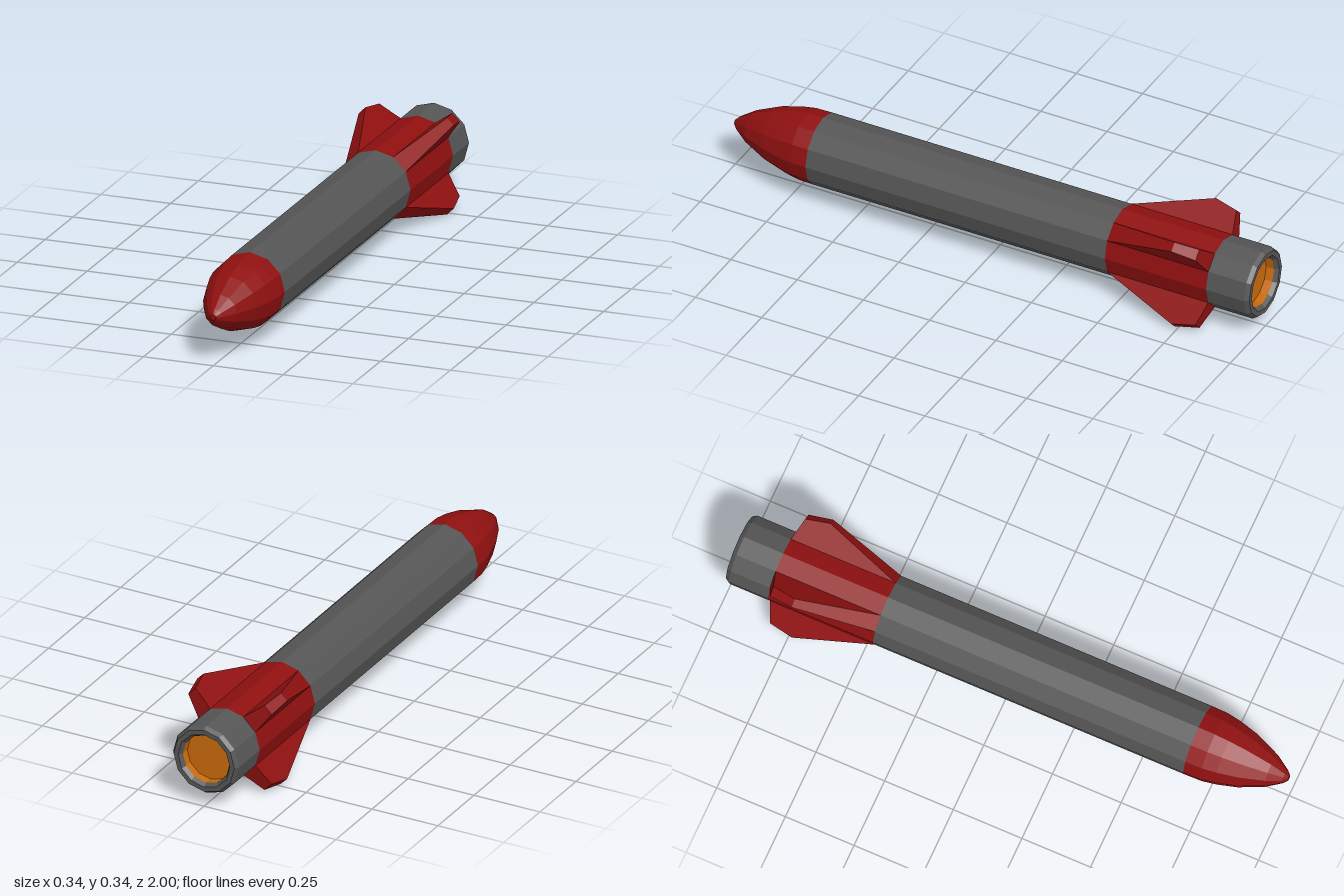
import * as THREE from 'three';
import { ConvexGeometry } from 'three/addons/geometries/ConvexGeometry.js';

const SIDES = 12;
const RADIUS = 0.125;
const APOTHEM = RADIUS * Math.cos(Math.PI / SIDES);
const HALF_FACET = RADIUS * Math.sin(Math.PI / SIDES);
const AXIS_HEIGHT = 0.17;

const material = (color) => new THREE.MeshStandardMaterial({ color, flatShading: true });

// Twelve-sided surface around the z axis from [radius, z] points
function turned(name, profile, mat) {
  const points = profile.map(([r, z]) => new THREE.Vector2(r, z));
  const geometry = new THREE.LatheGeometry(points, SIDES).rotateX(Math.PI / 2);
  const mesh = new THREE.Mesh(geometry, mat);
  mesh.name = name;
  return mesh;
}

// Fin growing up (+y) from one flat facet and narrowing towards its tip
function finGeometry() {
  const tip = 0.2235, tipHalf = 0.0167;
  const outline = [[-0.46, APOTHEM], [-0.735, tip], [-0.82, 0.204], [-0.842, APOTHEM]];
  const corners = [];
  for (const [z, r] of outline) {
    const t = (r - APOTHEM) / (tip - APOTHEM);
    const half = THREE.MathUtils.lerp(HALF_FACET, tipHalf, t);
    corners.push(new THREE.Vector3(-half, r, z), new THREE.Vector3(half, r, z));
  }
  return new ConvexGeometry(corners);
}

export function createModel() {
  const red = material(0x8f1010);
  const grey = material(0x555555);
  const orange = material(0xc86a0c);

  const rocket = new THREE.Group();
  rocket.name = 'rocket';
  rocket.position.y = AXIS_HEIGHT;

  // Body sections from the tail to the nose
  rocket.add(
    turned('exhaustCup', [[0, -0.955], [0.088, -0.955], [0.088, -0.985]], orange),
    turned('tailSection', [[0.088, -0.985], [0.098, -1], [0.115, -1], [RADIUS, -0.985], [RADIUS, -0.842]], grey),
    turned('finCollar', [[RADIUS, -0.842], [RADIUS, -0.46]], red),
    turned('mainBody', [[RADIUS, -0.46], [RADIUS, 0.67]], grey),
    turned('noseCone', [[RADIUS, 0.67], [0.1235, 0.73], [0.115, 0.78], [0.096, 0.85],
      [0.059, 0.935], [0.025, 0.985], [0.01, 1], [0, 1]], red),
  );

  // Four fins on the diagonals
  const geometry = finGeometry();
  for (let i = 0; i < 4; i++) {
    const fin = new THREE.Mesh(geometry, red);
    fin.name = `fin${i + 1}`;
    fin.rotation.z = Math.PI / 4 + i * Math.PI / 2;
    rocket.add(fin);
  }

  const model = new THREE.Group();
  model.name = 'model';
  model.add(rocket);
  return model;
}
